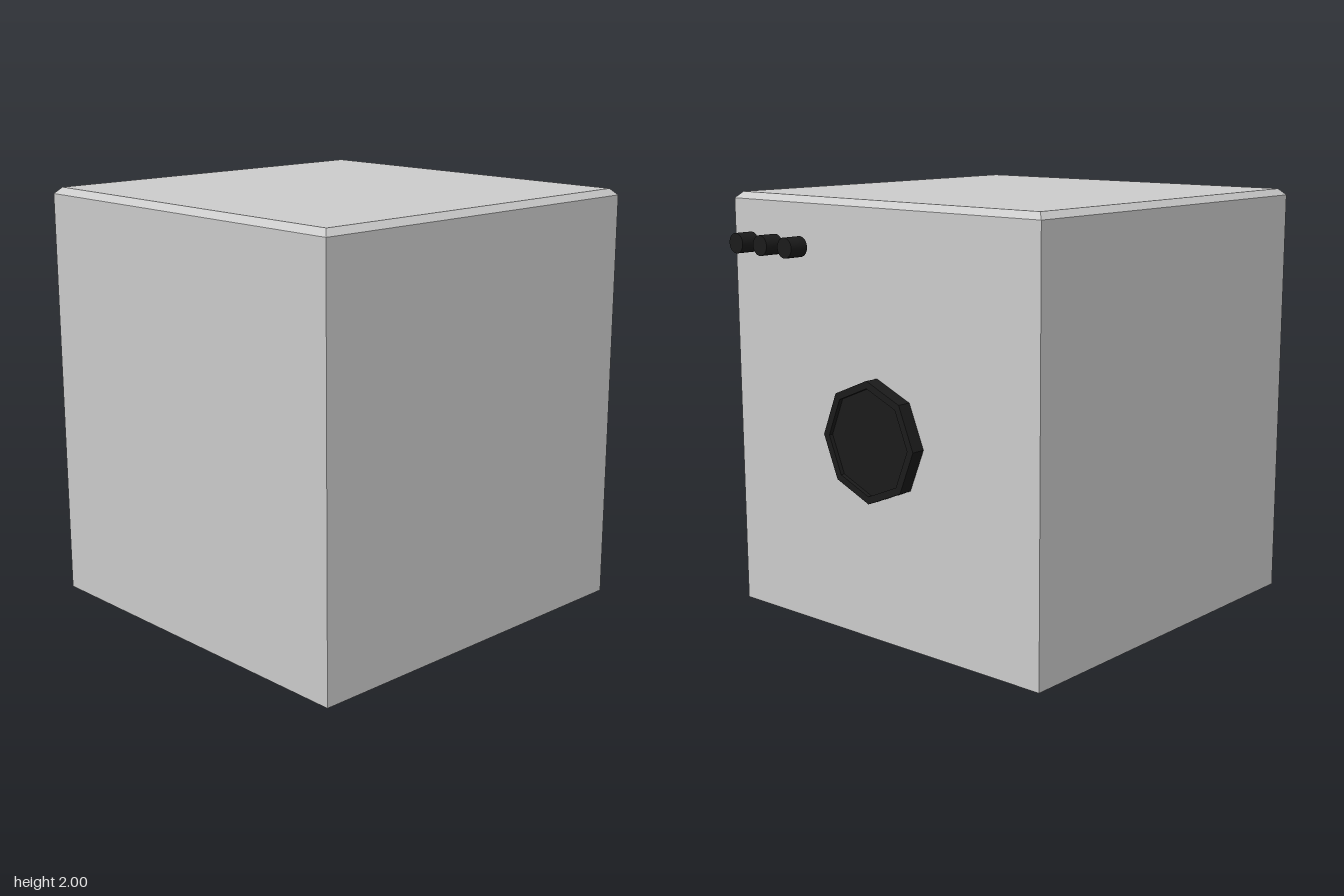
import * as THREE from 'three';

const grey = new THREE.MeshStandardMaterial({ color: 0xcccccc, flatShading: true });
const black = new THREE.MeshStandardMaterial({ color: 0x1b1b1b, flatShading: true });
const blackSmooth = new THREE.MeshStandardMaterial({ color: 0x1b1b1b });

// Faceted solid turned from a [radius, height] profile, listed bottom to top
function facetedSolid(profile, sides, startAngle) {
  const points = profile.map(([r, y]) => new THREE.Vector2(r, y));
  const geometry = new THREE.LatheGeometry(points, sides, startAngle).toNonIndexed();
  geometry.computeVertexNormals();
  return geometry;
}

function addMesh(group, name, geometry, material, x, y, z) {
  const mesh = new THREE.Mesh(geometry, material);
  mesh.name = name;
  mesh.position.set(x, y, z);
  group.add(mesh);
  return mesh;
}

export function createModel() {
  const model = new THREE.Group();
  model.name = 'applianceCube';

  // Square body with a narrow bevel around the top only
  const half = 0.933, bevel = 0.03, corner = Math.SQRT2;
  const body = facetedSolid([
    [0, 0], [half * corner, 0], [half * corner, 2 - bevel],
    [(half - bevel) * corner, 2], [0, 2],
  ], 4, Math.PI / 4);
  addMesh(model, 'body', body, grey, half - 1, 0, 0);

  // Octagonal porthole with a raised rim, facing +x
  const porthole = facetedSolid([
    [0, 0], [0.28, 0], [0.28, 0.066], [0.245, 0.066], [0.245, 0.046], [0, 0.046],
  ], 8, 0);
  porthole.rotateZ(-Math.PI / 2);
  addMesh(model, 'porthole', porthole, black, 0.866, 0.94, 0);

  // Row of three round buttons standing off the same side
  const button = new THREE.CylinderGeometry(0.047, 0.047, 0.094, 32);
  button.rotateZ(Math.PI / 2);
  for (let i = 0; i < 3; i++) {
    addMesh(model, `button${i + 1}`, button, blackSmooth, 0.953, 1.777, 0.77 - i * 0.166);
  }

  return model;
}
